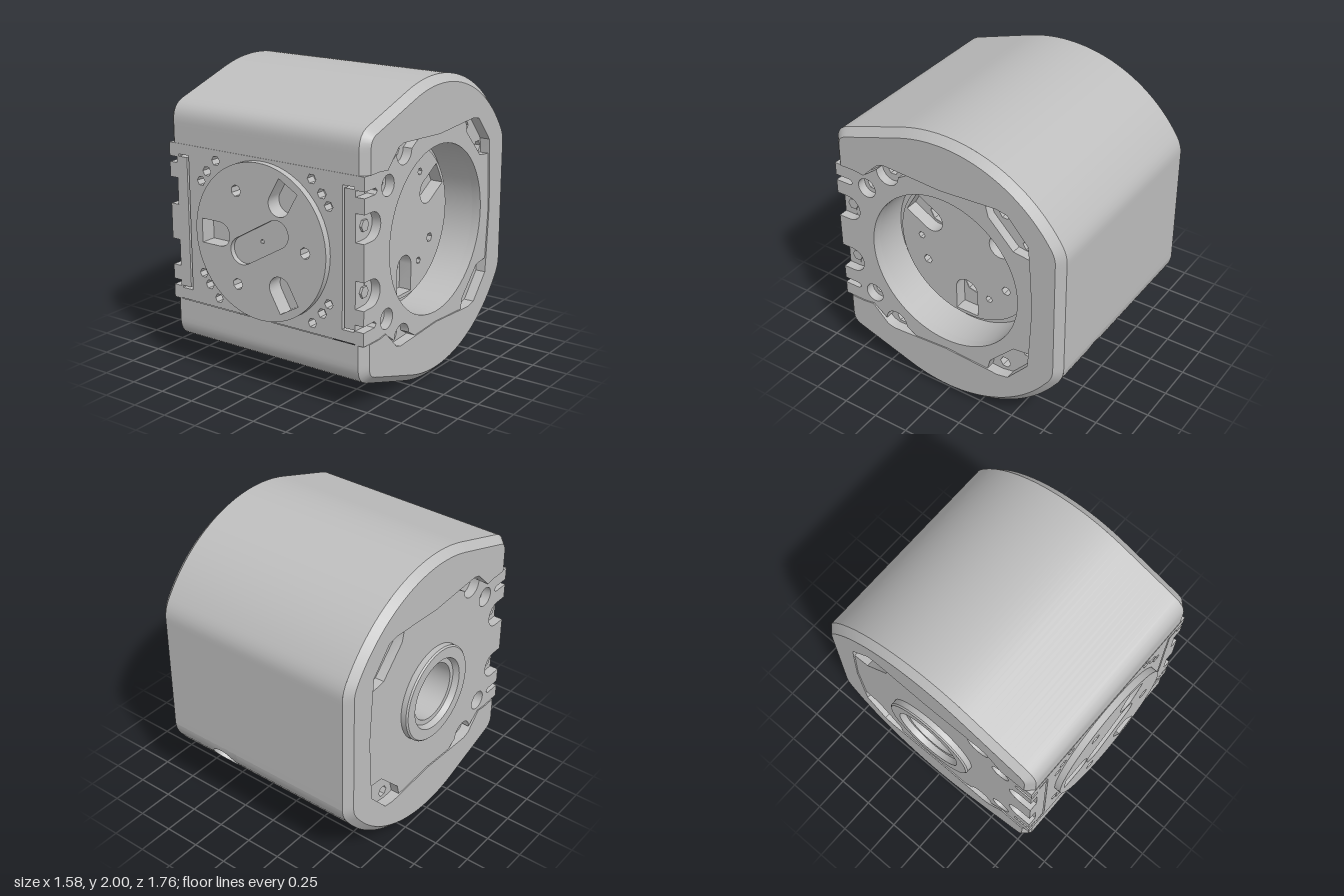
import * as THREE from 'three';
import { toCreasedNormals } from 'three/addons/utils/BufferGeometryUtils.js';

const { PI, cos, sin, abs, max } = Math;
const XL = -0.75, XR = 0.785, CH = 0.05;      // shell ends and chamfer
const metal = new THREE.MeshStandardMaterial({ color: 0xbebebe });
metal.name = 'machined grey';

export function createModel() {
  const group = new THREE.Group();
  group.name = 'jointModule';
  const add = (name, geo) => {
    const m = new THREE.Mesh(geo, metal);
    m.name = name;
    group.add(m);
    return m;
  };

  // Point helpers, all as [a, b] pairs
  const arc = (cx, cy, r, a0, a1, n = 12) => Array.from({ length: n + 1 }, (_, i) => {
    const a = (a0 + (a1 - a0) * i / n) * PI / 180;
    return [cx + r * cos(a), cy + r * sin(a)];
  });
  const circle = (cx, cy, r, n = 6) => arc(cx, cy, r, 0, 360, n).slice(0, n);
  const polar = (cx, cy, r, deg) => [cx + r * cos(deg * PI / 180), cy + r * sin(deg * PI / 180)];
  const turn = (pts, cx, cy, deg) => {
    const c = cos(deg * PI / 180), s = sin(deg * PI / 180);
    return pts.map(([x, y]) => [cx + c * x - s * y, cy + s * x + c * y]);
  };
  const flipY = pts => pts.map(([a, b]) => [a, 2 - b]);
  const closeMirror = pts => [...pts, ...flipY(pts).reverse()];
  // U pocket, square end outward
  const uPocket = (cx, cy, deg, r0, r1, w) =>
    turn([[r1, -w], [r1, w], ...arc(r0, 0, w, 90, 270)], cx, cy, deg);

  // Extrusions along z and, for the two ends, along x (points are z, y)
  const toV = (pts, k = 1) => {
    const v = pts.map(([a, b]) => new THREE.Vector2(k * a, b));
    return k < 0 ? v.reverse() : v;           // keep the winding when mirrored
  };
  const extrude = (pts, holes, d0, d1, k = 1) => {
    const s = new THREE.Shape(toV(pts, k));
    holes.forEach(h => s.holes.push(new THREE.Path(toV(h, k))));
    const g = new THREE.ExtrudeGeometry(s, { depth: d1 - d0, bevelEnabled: false });
    g.translate(0, 0, d0);
    return toCreasedNormals(g, 0.6);
  };
  const extrudeX = (side, pts, holes, d0, d1) =>
    extrude(pts, holes, d0, d1, -side).rotateY(side * PI / 2);

  // Smooth grid surface, facing du x dv
  const surf = (nu, nv, f) => {
    const pos = [], idx = [];
    for (let j = 0; j <= nv; j++) for (let i = 0; i <= nu; i++) pos.push(...f(i / nu, j / nv));
    for (let j = 0; j < nv; j++) for (let i = 0; i < nu; i++) {
      const a = j * (nu + 1) + i, b = a + nu + 1;
      idx.push(a, a + 1, b + 1, a, b + 1, b);
    }
    const g = new THREE.BufferGeometry();
    g.setAttribute('position', new THREE.Float32BufferAttribute(pos, 3));
    g.setIndex(idx);
    g.computeVertexNormals();
    return g;
  };

  // Shell profile (z, y), open at the front window
  const path = new THREE.Path();
  path.moveTo(0.832, 1.53).lineTo(0.832, 1.68).quadraticCurveTo(0.832, 1.78, 0.74, 1.81).lineTo(0.31, 1.951);
  path.absarc(0, 1, 1, 1.256, 2.548, false);
  path.quadraticCurveTo(-0.88, 1.49, -0.88, 1.42).lineTo(-0.88, 0.58).quadraticCurveTo(-0.88, 0.51, -0.83, 0.44);
  path.absarc(0, 1, 1, 2 * PI - 2.548, 2 * PI - 1.256, false);
  path.lineTo(0.74, 0.19).quadraticCurveTo(0.832, 0.22, 0.832, 0.32).lineTo(0.832, 0.47);
  const len = path.getLength();
  const profile = (u, off = 0) => {
    const p = path.getPoint(u), t = path.getTangent(u);
    return [p.x - t.y * off, p.y + t.x * off];
  };
  const onShell = (x, u, off = 0) => {
    const [z, y] = profile(u, off);
    return [x, y, z];
  };

  // Shell wall, with a round port low on the back
  let u0 = 0.5, best = 9;
  for (let u = 0.5; u < 0.8; u += 0.001) {
    const [z, y] = profile(u), d = Math.hypot(z + 0.82, y - 0.44);
    if (d < best) { best = d; u0 = u; }
  }
  const hx = 0.33, hs = 0.14, hr = 0.1, du = hs / len, xa = XL + CH, xb = XR - CH;
  const strip = (x0, x1, ua, ub, n) =>
    add('shellWall', surf(1, n, (a, b) => onShell(x0 + (x1 - x0) * a, ua + (ub - ua) * b)));
  strip(xa, xb, 0, u0 - du, 90);
  strip(xa, xb, u0 + du, 1, 60);
  strip(xa, hx - hs, u0 - du, u0 + du, 10);
  strip(hx + hs, xb, u0 - du, u0 + du, 10);
  const portPoint = (r, a, off) => onShell(hx + r * cos(a), u0 + r * sin(a) / len, off);
  add('portSurround', surf(2, 64, (t, b) => {
    const a = b * 2 * PI, sq = (hs + 0.002) / max(abs(cos(a)), abs(sin(a)));
    return portPoint(hr + (sq - hr) * t, a, 0);
  }));
  add('portWall', surf(32, 1, (a, t) => portPoint(hr, a * 2 * PI, 0.12 * t)));
  add('portFloor', surf(1, 32, (t, a) => portPoint(hr * t, a * 2 * PI, 0.12)));
  add('chamferLeft', surf(1, 160, (a, b) => onShell(xb + CH * a, b, CH * a)));
  add('chamferRight', surf(1, 160, (a, b) => onShell(XL + CH * a, b, CH * (1 - a))));

  // End plates: rim, notched cover and drilled base
  const edge = [[0.67, 1.53], [0.6, 1.52], [0.48, 1.64], [0.43, 1.655], [0.25, 1.645], [0, 1.63],
    [-0.41, 1.655], [-0.49, 1.64], [-0.64, 1.47], [-0.65, 1.34], [-0.67, 1]];
  const cover = closeMirror([[0.835, 1.12], ...arc(0.75, 1.21, 0.09, -90, -270),
    [0.835, 1.3], [0.835, 1.4], [0.72, 1.4], [0.7, 1.42], [0.72, 1.44], [0.835, 1.44], [0.835, 1.53],
    [0.67, 1.53], [0.6, 1.52], ...arc(0.41, 1.6, 0.085, 0, -180),
    [0.25, 1.645], [0, 1.63], [-0.33, 1.648], [-0.35, 1.57], [-0.53, 1.385], [-0.645, 1.37], [-0.67, 1]]);
  const base = closeMirror([[0.74, 1.53], ...edge]);
  const outer = Array.from({ length: 161 }, (_, i) => profile(i / 160, CH));
  const rim = [...outer, ...closeMirror(edge).reverse()];
  const bolts = [[0.41, 1.6], [0.585, 1.425], [-0.43, 1.59], [-0.6, 1.42]];
  const both = pts => [...pts, ...flipY(pts)];
  for (const side of [1, -1]) {
    const F = side > 0 ? XR : -XL, bore = side > 0 ? 0.56 : 0.3;
    add('endRim', extrudeX(side, rim, [], F - 0.09, F));
    add('endCover', extrudeX(side, cover,
      [circle(0, 1, bore, 64), ...both([bolts[1]]).map(([z, y]) => circle(z, y, 0.068, 20))], F - 0.07, F - 0.008));
    add('endBase', extrudeX(side, base,
      [circle(0, 1, bore, 64), ...both(bolts).map(([z, y]) => circle(z, y, 0.04))], F - 0.42, F - 0.07));
    for (const [z, y] of both([[0.755, 1.21]]))
      add('notchBolt', extrudeX(side, circle(z, y, 0.04), [], F - 0.09, F - 0.055));
  }
  const core = add('core', new THREE.BoxGeometry(0.7, 1.32, 1.32));
  core.position.set(0.015, 1, 0);

  // Flange at the bottom of the large bore
  const lobes = [30, 150, 270];
  const flangeHoles = [
    ...lobes.map(d => uPocket(0, 1, d, 0.31, 0.49, 0.085)),
    ...lobes.map(d => circle(...polar(0, 1, 0.36, d + 60), 0.033)),
    ...[0, 120, 240].map(d => circle(...polar(0, 1, 0.355, d), 0.025))];
  add('flange', extrudeX(1, circle(0, 1, 0.515, 64), flangeHoles, 0.44, 0.53));
  add('flangeStep', extrudeX(1, circle(0, 1, 0.565, 64), [circle(0, 1, 0.505, 64)], 0.4, 0.49));
  const sockets = lobes.map(d => polar(0, 1, 0.31, d));
  add('flangeFloor', extrudeX(1, circle(0, 1, 0.53, 48), sockets.map(([z, y]) => circle(z, y, 0.075, 7)), 0.37, 0.44));
  for (const [z, y] of sockets) {
    const cone = new THREE.LatheGeometry([new THREE.Vector2(0.08, 0), new THREE.Vector2(0, -0.07)], 7);
    const m = add('socketCone', toCreasedNormals(cone, 0.1));
    m.rotation.z = -PI / 2;
    m.position.set(0.44, y, z);
  }

  // Hollow shaft boss on the other end
  const bossProfile = [[0.335, 0.7], [0.335, 0.78], [0.325, 0.79], [0.25, 0.79], [0.235, 0.75],
    [0.2, 0.75], [0.2, 0.52], [0, 0.52]];
  const boss = add('shaftBoss', toCreasedNormals(new THREE.LatheGeometry(toV(bossProfile), 64), 0.5));
  boss.rotation.z = PI / 2;
  boss.position.y = 1;
  for (let i = -2; i <= 2; i++) {
    const bar = add('shaftRib', new THREE.BoxGeometry(0.05, 0.03, 2 * Math.sqrt(0.038 - (i * 0.07) ** 2)));
    bar.position.set(-0.54, 1 + i * 0.07, 0);
  }

  // Front plate with bolt holes and bracket grooves
  const cx = 0.02, px0 = XL + 0.07, px1 = XR - 0.07, plateHoles = [circle(cx, 1, 0.49, 48)];
  for (const sx of [1, -1]) {
    for (const sy of [1, -1])
      for (const [dx, dy, r] of [[0.375, 0.46, 0.032], [0.5, 0.31, 0.032], [0.45, 0.38, 0.033]])
        plateHoles.push(circle(cx + sx * dx, 1 + sy * dy, r));
    const q = v => cx + sx * v;
    const groove = [[q(0.685), 0.55], [q(0.6), 0.55], [q(0.6), 1.46], [q(0.685), 1.46],
      [q(0.685), 1.445], [q(0.615), 1.445], [q(0.615), 0.565], [q(0.685), 0.565]];
    plateHoles.push(groove);
  }
  add('frontPlate', extrude([[px0, 0.475], [px1, 0.475], [px1, 1.53], [px0, 1.53]], plateHoles, 0.77, 0.835));
  const backing = add('frontBacking', new THREE.BoxGeometry(px1 - px0, 1.05, 0.03));
  backing.position.set((px0 + px1) / 2, 1.003, 0.757);

  // Round output disc on the front
  const slot = turn([...arc(0.16, 0, 0.09, -90, 90), ...arc(-0.16, 0, 0.09, 90, 270)], cx, 1, 30);
  add('outputDisc', extrude(circle(cx, 1, 0.512, 72), [slot,
    ...[60, 180, 300].map(d => uPocket(cx, 1, d, 0.315, 0.46, 0.08)),
    ...[0, 120, 240].map(d => circle(...polar(cx, 1, 0.355, d), 0.038, 7))], 0.765, 0.88));
  add('slotFloor', extrude(slot, [circle(cx, 1, 0.014, 8)], 0.765, 0.845));
  return group;
}
